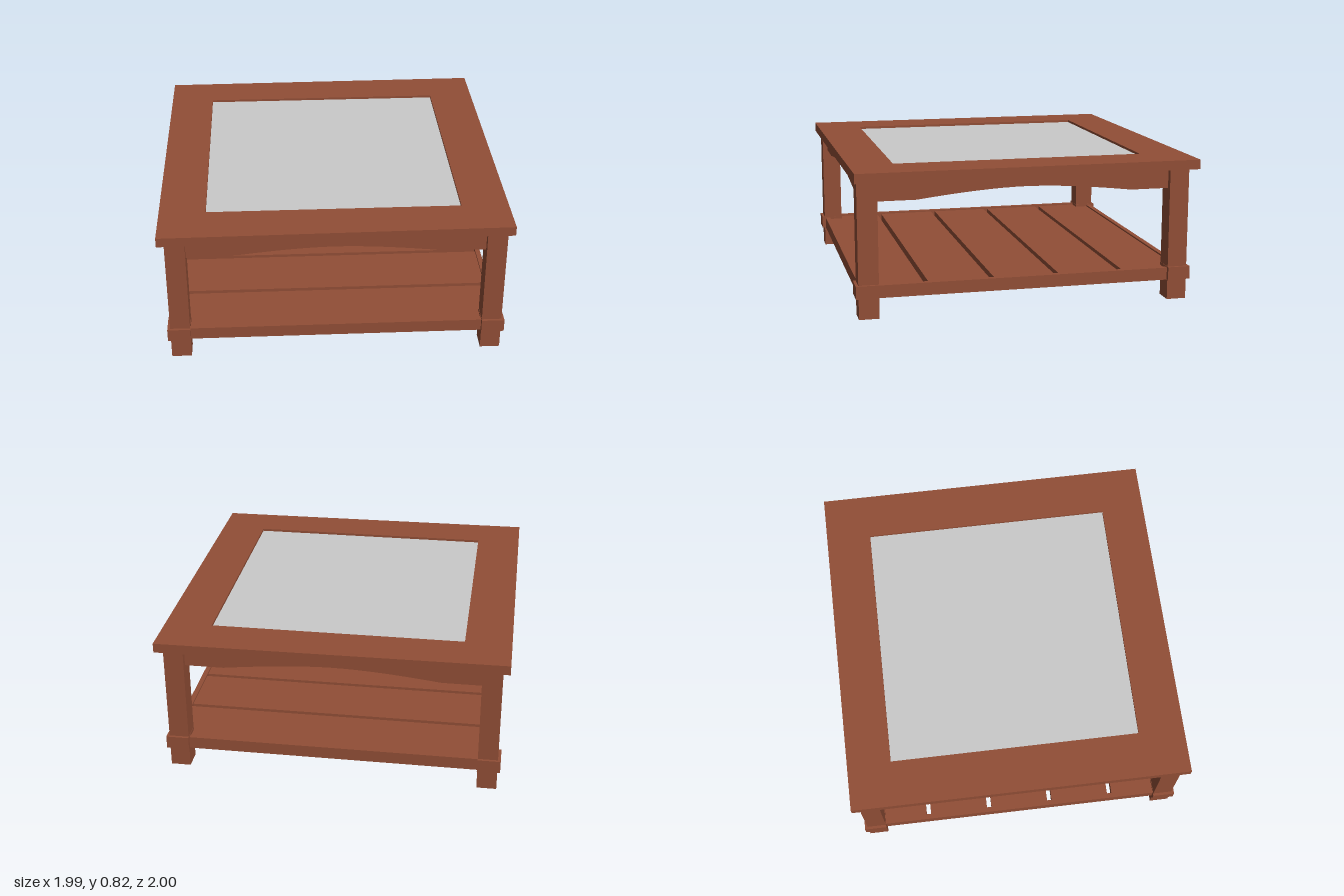
import * as THREE from 'three';

export function createModel() {
  const table = new THREE.Group();
  table.name = 'coffeeTable';
  const wood = new THREE.MeshStandardMaterial({ color: 0x914e36 });
  wood.name = 'reddishWood';
  const glass = new THREE.MeshStandardMaterial({ color: 0xcacaca });
  glass.name = 'paleGlass';

  const Z = 0.009; // the base sits a touch forward of the top

  function add(parent, name, geometry, material) {
    const mesh = new THREE.Mesh(geometry, material);
    mesh.name = name;
    parent.add(mesh);
    return mesh;
  }

  // Box given by its minimum and maximum along each axis
  function box(parent, name, x0, x1, y0, y1, z0, z1, material = wood) {
    const g = new THREE.BoxGeometry(x1 - x0, y1 - y0, z1 - z0);
    g.translate((x0 + x1) / 2, (y0 + y1) / 2, (z0 + z1) / 2);
    return add(parent, name, g, material);
  }

  // Tabletop frame, very slightly out of square, with a square opening
  const outline = new THREE.Shape([[-0.996, -0.984], [0.996, -0.999], [0.996, 0.98], [-0.996, 0.999]]
    .map(([x, z]) => new THREE.Vector2(x, z)));
  outline.holes.push(new THREE.Path([[-0.731, -0.731], [-0.731, 0.728], [0.724, 0.728], [0.724, -0.731]]
    .map(([x, z]) => new THREE.Vector2(x, z))));
  const topGeometry = new THREE.ExtrudeGeometry(outline, { depth: 0.055, bevelEnabled: false });
  topGeometry.rotateX(Math.PI / 2).translate(0, 0.825, 0);
  add(table, 'tabletopFrame', topGeometry, wood);

  // Glass pane, set just below the surface
  box(table, 'glassPane', -0.731, 0.724, 0.803, 0.811, -0.731, 0.728, glass);

  const base = new THREE.Group();
  base.name = 'base';
  base.position.z = Z;
  table.add(base);

  // Square legs with a collar on the outer faces
  const span = (s, a, b) => (s > 0 ? [a, b] : [-b, -a]);
  for (const sx of [-1, 1]) {
    for (const sz of [-1, 1]) {
      const leg = new THREE.Group();
      leg.name = (sz > 0 ? 'front' : 'back') + (sx > 0 ? 'Left' : 'Right') + 'Leg';
      base.add(leg);
      box(leg, 'legPost', ...span(sx, 0.843, 0.957), 0, 0.77, ...span(sz, 0.843, 0.957));
      box(leg, 'legCollar', ...span(sx, 0.841, 0.973), 0.12, 0.195, ...span(sz, 0.841, 0.973));
    }
  }

  // Arched apron profile, shared by all four sides
  const apron = new THREE.Shape();
  apron.moveTo(-0.845, 0.655);
  apron.lineTo(-0.62, 0.655);
  apron.quadraticCurveTo(-0.24, 0.703, 0, 0.703);
  apron.quadraticCurveTo(0.24, 0.703, 0.62, 0.655);
  apron.lineTo(0.845, 0.655);
  apron.lineTo(0.845, 0.77);
  apron.lineTo(-0.845, 0.77);
  const apronGeometry = new THREE.ExtrudeGeometry(apron, { depth: 0.035, bevelEnabled: false, curveSegments: 8 });
  apronGeometry.translate(0, 0, 0.89);

  // Aprons and shelf rails between the legs
  ['front', 'left', 'back', 'right'].forEach((side, i) => {
    const frame = new THREE.Group();
    frame.name = side + 'Side';
    frame.rotation.y = i * Math.PI / 2;
    base.add(frame);
    add(frame, 'archedApron', apronGeometry, wood);
    box(frame, 'shelfRail', -0.843, 0.843, 0.116, 0.188, 0.92, 0.95);
  });

  // Shelf boards running side to side with narrow gaps
  const pitch = 0.38;
  for (let i = -2; i <= 2; i++) {
    const z = i * pitch;
    const half = pitch / 2 - 0.014;
    const end = Math.abs(i) === 2 ? 0.844 : 0.922; // outer boards fit between the legs
    const z0 = i === -2 ? -0.921 : z - half;
    const z1 = i === 2 ? 0.921 : z + half;
    box(base, 'shelfBoard', -end, end, 0.122, 0.178, z0, z1);
    // Outer boards widen to the side rails clear of the legs
    if (i === 2) for (const s of [-1, 1]) box(base, 'shelfBoardEnd', ...span(s, 0.844, 0.922), 0.122, 0.178, z0, 0.843);
    if (i === -2) for (const s of [-1, 1]) box(base, 'shelfBoardEnd', ...span(s, 0.844, 0.922), 0.122, 0.178, -0.843, z1);
  }

  return table;
}
